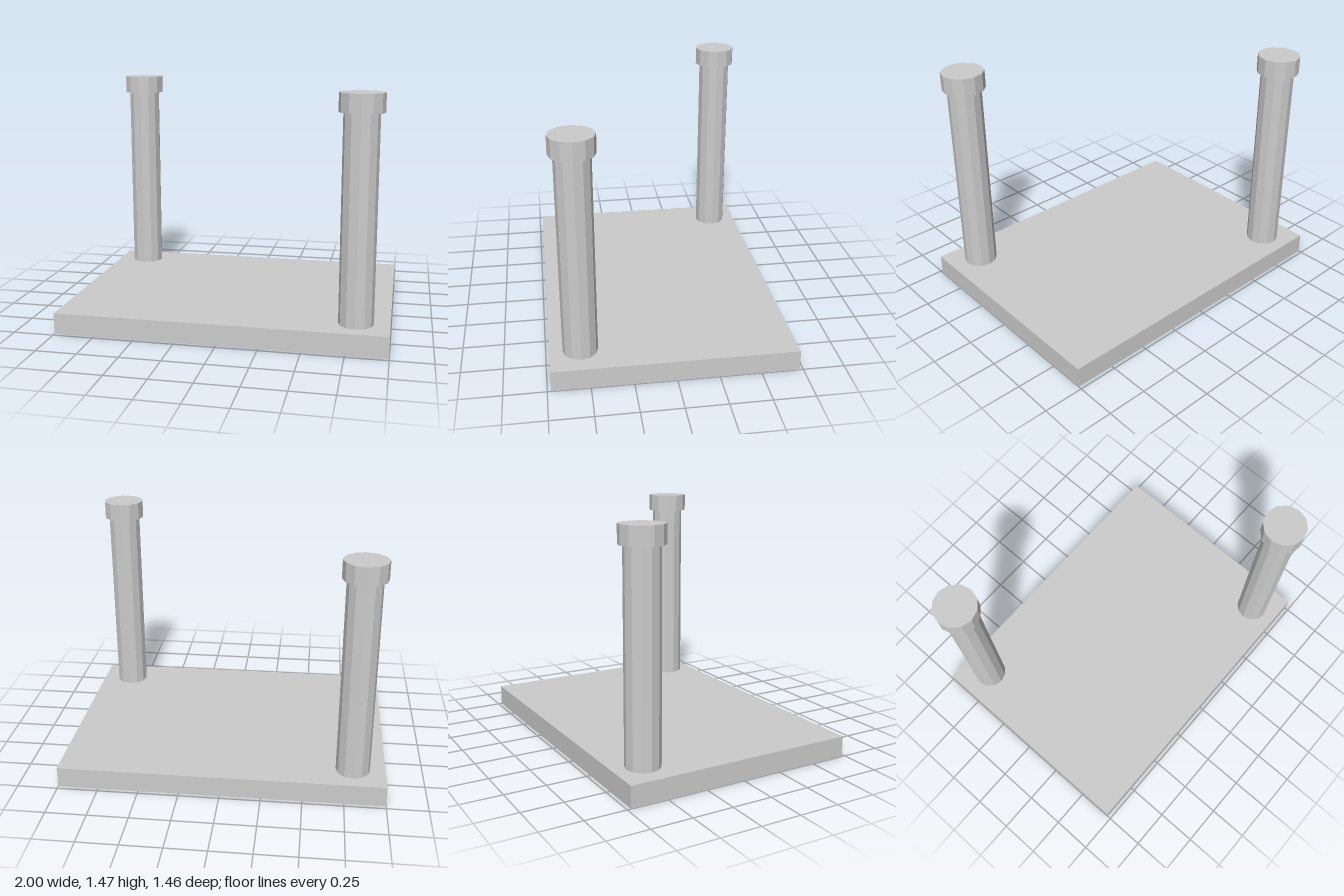
import * as THREE from 'three';

const BASE_H = 0.13, CAP_Y = 1.363, TOP_Y = 1.474;

export function createModel() {
  const model = new THREE.Group();
  model.name = 'postStand';
  const material = new THREE.MeshStandardMaterial({ color: 0xcccccc, flatShading: true });

  const add = (parent, name, geometry, y) => {
    const mesh = new THREE.Mesh(geometry, material);
    mesh.name = name;
    mesh.position.y = y;
    parent.add(mesh);
  };

  // Flat rectangular base
  add(model, 'base', new THREE.BoxGeometry(2, BASE_H, 1.455), BASE_H / 2);

  // Twelve-sided post with a wider cap, at two opposite corners
  const shaftGeometry = new THREE.CylinderGeometry(0.104, 0.104, CAP_Y - BASE_H, 12);
  const capGeometry = new THREE.CylinderGeometry(0.131, 0.131, TOP_Y - CAP_Y, 12);
  for (const [name, side] of [['frontLeftPost', 1], ['backRightPost', -1]]) {
    const post = new THREE.Group();
    post.name = name;
    post.position.set(side * 0.8, 0, side * 0.546);
    add(post, 'shaft', shaftGeometry, (BASE_H + CAP_Y) / 2);
    add(post, 'cap', capGeometry, (CAP_Y + TOP_Y) / 2);
    model.add(post);
  }

  return model;
}
